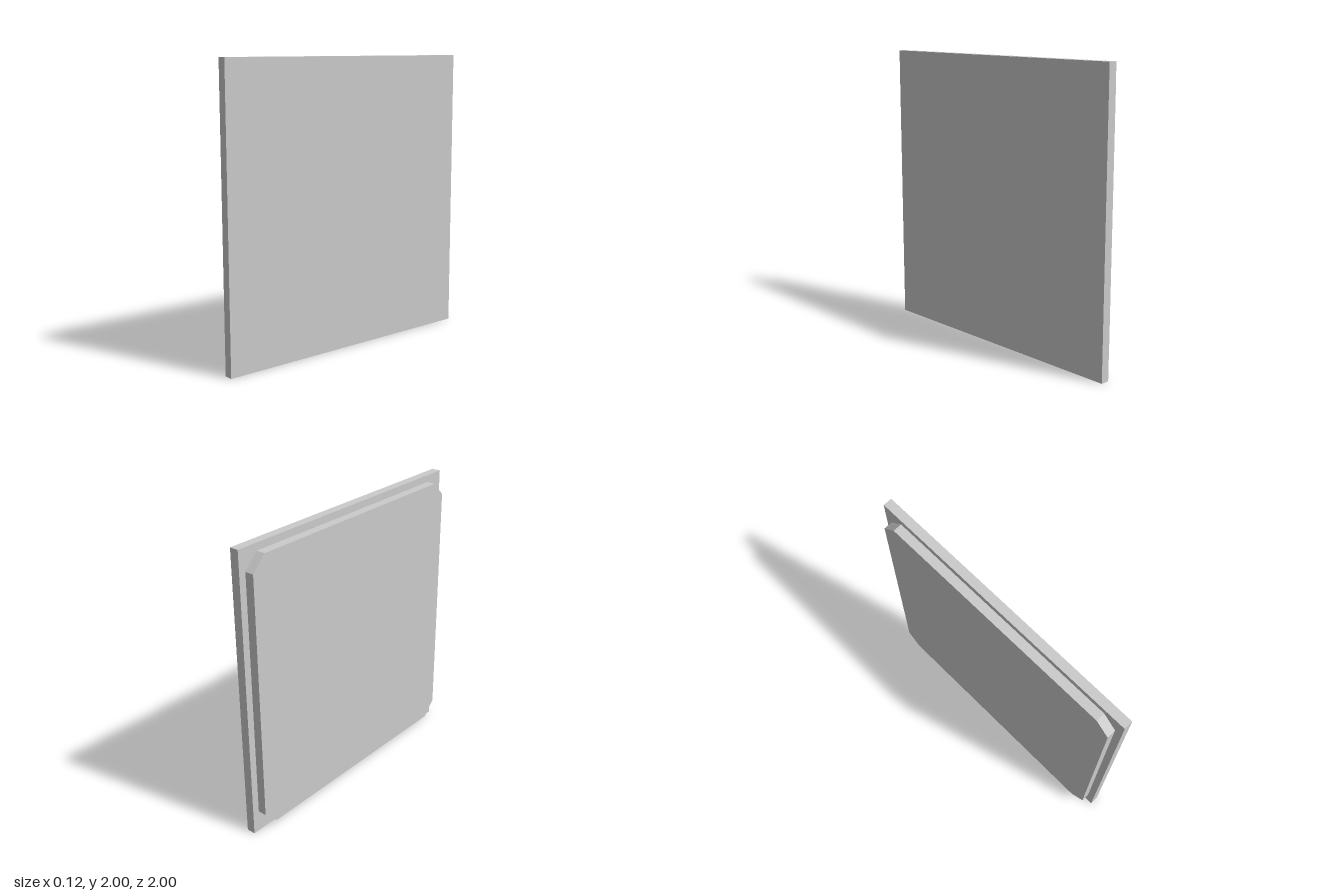
import * as THREE from 'three';

export function createModel() {
  const group = new THREE.Group();
  const material = new THREE.MeshStandardMaterial({ color: 0xcccccc, flatShading: true });
  const thickness = 0.062;

  // Square plate on the left side
  const plate = new THREE.Mesh(new THREE.BoxGeometry(thickness, 2, 2), material);
  plate.name = 'plate';
  plate.position.set(thickness / 2, 1, 0);
  group.add(plate);

  // Smaller raised panel with four chamfered corners
  const half = 0.95, flat = 0.85;
  const outline = new THREE.Shape([
    [flat, -half], [half, -flat], [half, flat], [flat, half],
    [-flat, half], [-half, flat], [-half, -flat], [-flat, -half],
  ].map(([x, y]) => new THREE.Vector2(x, y)));
  const panelGeometry = new THREE.ExtrudeGeometry(outline, { depth: thickness, bevelEnabled: false });
  panelGeometry.rotateY(-Math.PI / 2);
  const panel = new THREE.Mesh(panelGeometry, material);
  panel.name = 'chamferedPanel';
  panel.position.y = 1;
  group.add(panel);

  return group;
}
